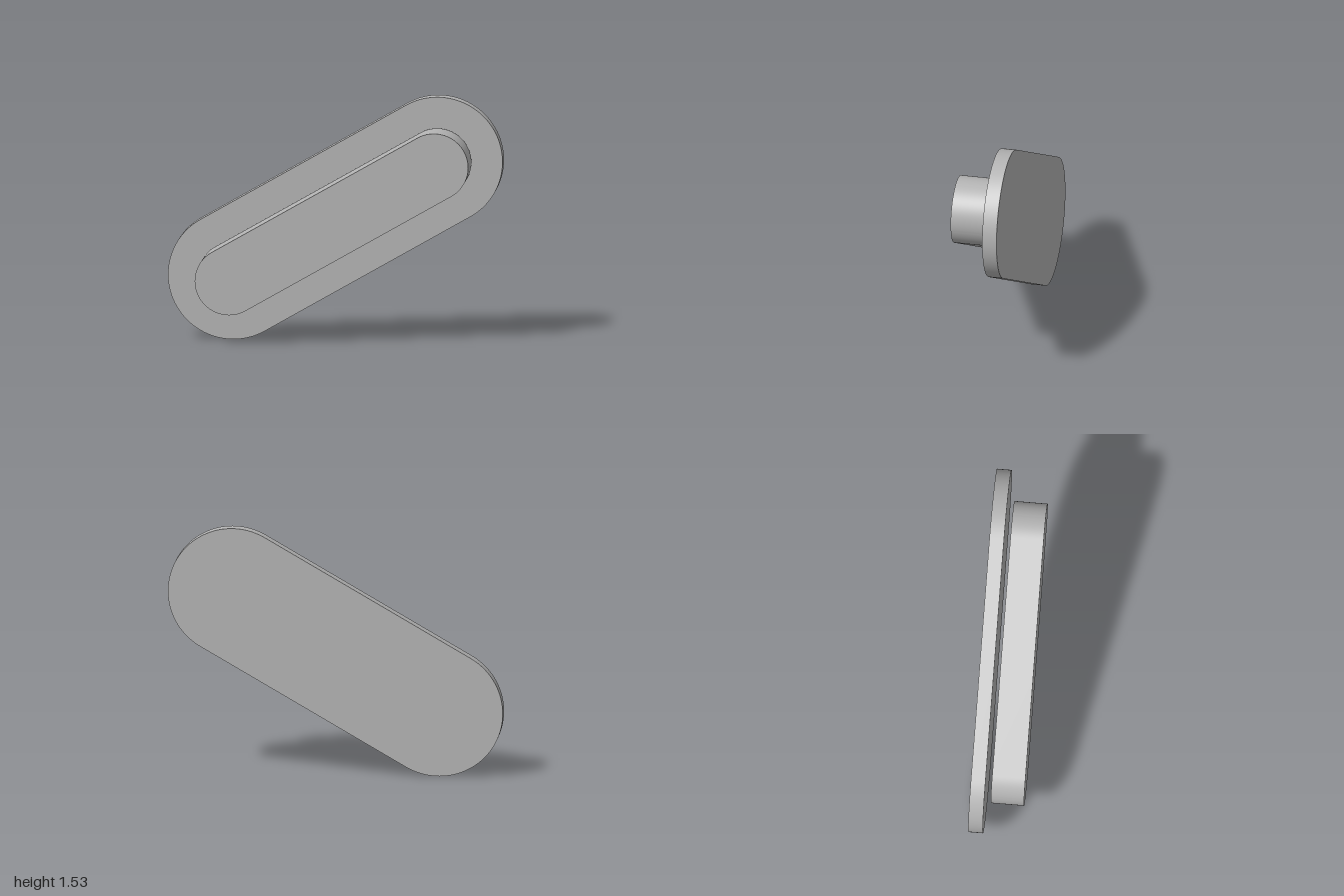
import * as THREE from 'three';
import { toCreasedNormals } from 'three/addons/utils/BufferGeometryUtils.js';

const HALF_LENGTH = 0.734; // from the middle to each end's arc centre

// Pill-shaped slab lying along x, spanning back..front in z
function pill(name, radius, back, front, material) {
  const shape = new THREE.Shape();
  shape.absarc(HALF_LENGTH, 0, radius, -Math.PI / 2, Math.PI / 2, false);
  shape.absarc(-HALF_LENGTH, 0, radius, Math.PI / 2, Math.PI * 1.5, false);
  shape.closePath();
  const geometry = new THREE.ExtrudeGeometry(shape, {
    depth: front - back, bevelEnabled: false, curveSegments: 32,
  });
  geometry.translate(0, 0, back);
  const mesh = new THREE.Mesh(toCreasedNormals(geometry, 0.6), material);
  mesh.name = name;
  return mesh;
}

export function createModel() {
  const grey = new THREE.MeshStandardMaterial({ color: 0xb4b4b4 });
  grey.name = 'grey';

  // Both slabs share one long axis, slanted up to the right
  const slabs = new THREE.Group();
  slabs.name = 'slantedSlabs';
  slabs.add(pill('backPlate', 0.398, -0.128, -0.038, grey));
  slabs.add(pill('frontBlock', 0.209, -0.005, 0.2, grey));
  slabs.rotation.z = Math.PI / 6;
  slabs.position.set(0.027, 0, 0);

  // The whole pair is turned about the vertical
  const turned = new THREE.Group();
  turned.name = 'turnedPair';
  turned.add(slabs);
  turned.rotation.y = Math.PI / 10;
  turned.position.y = 0.765;

  const model = new THREE.Group();
  model.name = 'pillPlates';
  model.add(turned);
  return model;
}
